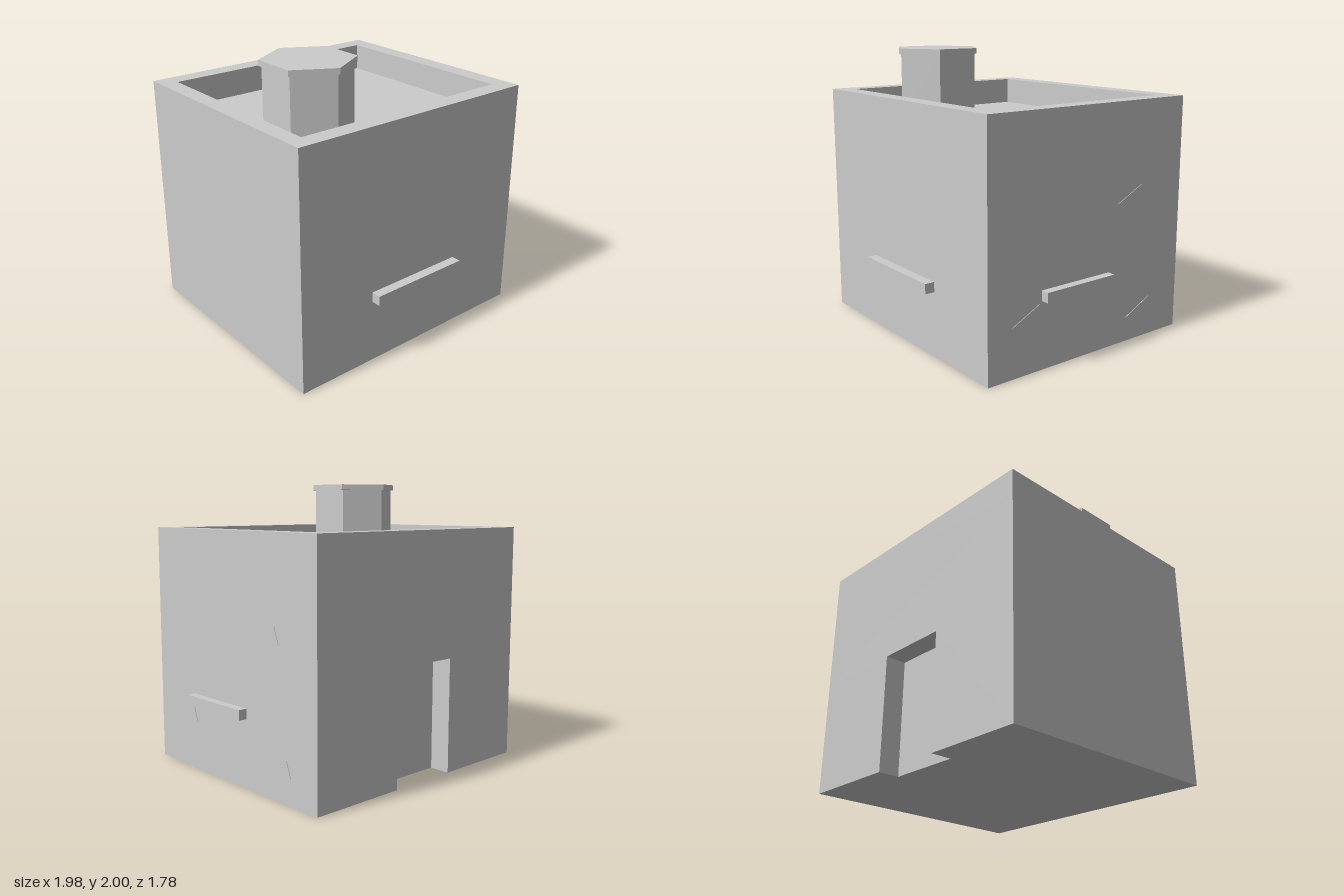
import * as THREE from 'three';

const X0 = -0.99, X1 = 0.93, Z0 = -0.89, Z1 = 0.82; // outer walls
const DOOR_TOP = 0.81, ROOF = 1.495, TOP = 1.69;

export function createModel() {
  const model = new THREE.Group();
  model.name = 'house';
  const plaster = new THREE.MeshStandardMaterial({ color: 0xcccccc });
  plaster.name = 'grey plaster';

  function add(name, geometry, x = 0, y = 0, z = 0) {
    const mesh = new THREE.Mesh(geometry, plaster);
    mesh.name = name;
    mesh.position.set(x, y, z);
    model.add(mesh);
    return mesh;
  }

  // Box given by its limits on each axis
  function block(name, x0, x1, y0, y1, z0, z1) {
    return add(name, new THREE.BoxGeometry(x1 - x0, y1 - y0, z1 - z0),
      (x0 + x1) / 2, (y0 + y1) / 2, (z0 + z1) / 2);
  }

  // Floor plan of [x, z] points raised from y0 to y1
  const toPoints = (plan) => plan.map(([x, z]) => new THREE.Vector2(x, -z));
  function raise(name, plan, y0, y1, hole) {
    const shape = new THREE.Shape(toPoints(plan));
    if (hole) shape.holes.push(new THREE.Path(toPoints(hole)));
    const geometry = new THREE.ExtrudeGeometry(shape, { depth: y1 - y0, bevelEnabled: false });
    geometry.rotateX(-Math.PI / 2);
    return add(name, geometry, 0, y0, 0);
  }

  const rectangle = (x0, x1, z0, z1) => [[x0, z1], [x1, z1], [x1, z0], [x0, z0]];

  // Walls with the doorway recessed into the back
  const doorBack = Z0 + 0.15;
  raise('lowerWalls', [
    [X0, Z1], [X1, Z1], [X1, Z0], [0.23, Z0], [0.23, doorBack],
    [-0.29, doorBack], [-0.29, Z0], [X0, Z0],
  ], 0, DOOR_TOP);
  block('upperWalls', X0, X1, DOOR_TOP, ROOF, Z0, Z1);

  // Raised rim around the sunken flat roof
  raise('parapet', rectangle(X0, X1, Z0, Z1), ROOF, TOP, rectangle(-0.87, 0.8, -0.76, 0.69));

  // Six-sided chimney with a wider cap
  add('chimney', new THREE.CylinderGeometry(0.3, 0.3, 0.465, 6).toNonIndexed(), -0.46, 1.7275, 0.23);
  add('chimneyCap', new THREE.CylinderGeometry(0.319, 0.319, 0.04, 6).toNonIndexed(), -0.46, 1.98, 0.23);
  for (const mesh of model.children.slice(-2)) mesh.geometry.computeVertexNormals();

  // Ledges on the front and left walls
  block('frontLedge', -0.41, 0.35, 0.46, 0.53, Z1 - 0.01, 0.89);
  block('sideLedge', X1 - 0.01, 0.99, 0.47, 0.54, -0.2, 0.39);

  // Small thin triangles on the left wall, placed by their front lower corner
  for (const [z, y] of [[-0.27, 1.0], [0.63, 0.345], [-0.38, 0.175]]) {
    const shape = new THREE.Shape([
      new THREE.Vector2(0, 0), new THREE.Vector2(0.265, 0), new THREE.Vector2(0.225, 0.11),
    ]);
    const geometry = new THREE.ExtrudeGeometry(shape, { depth: 0.004, bevelEnabled: false });
    geometry.rotateY(Math.PI / 2);
    add('wallTriangle', geometry, X1, y, z);
  }

  return model;
}
